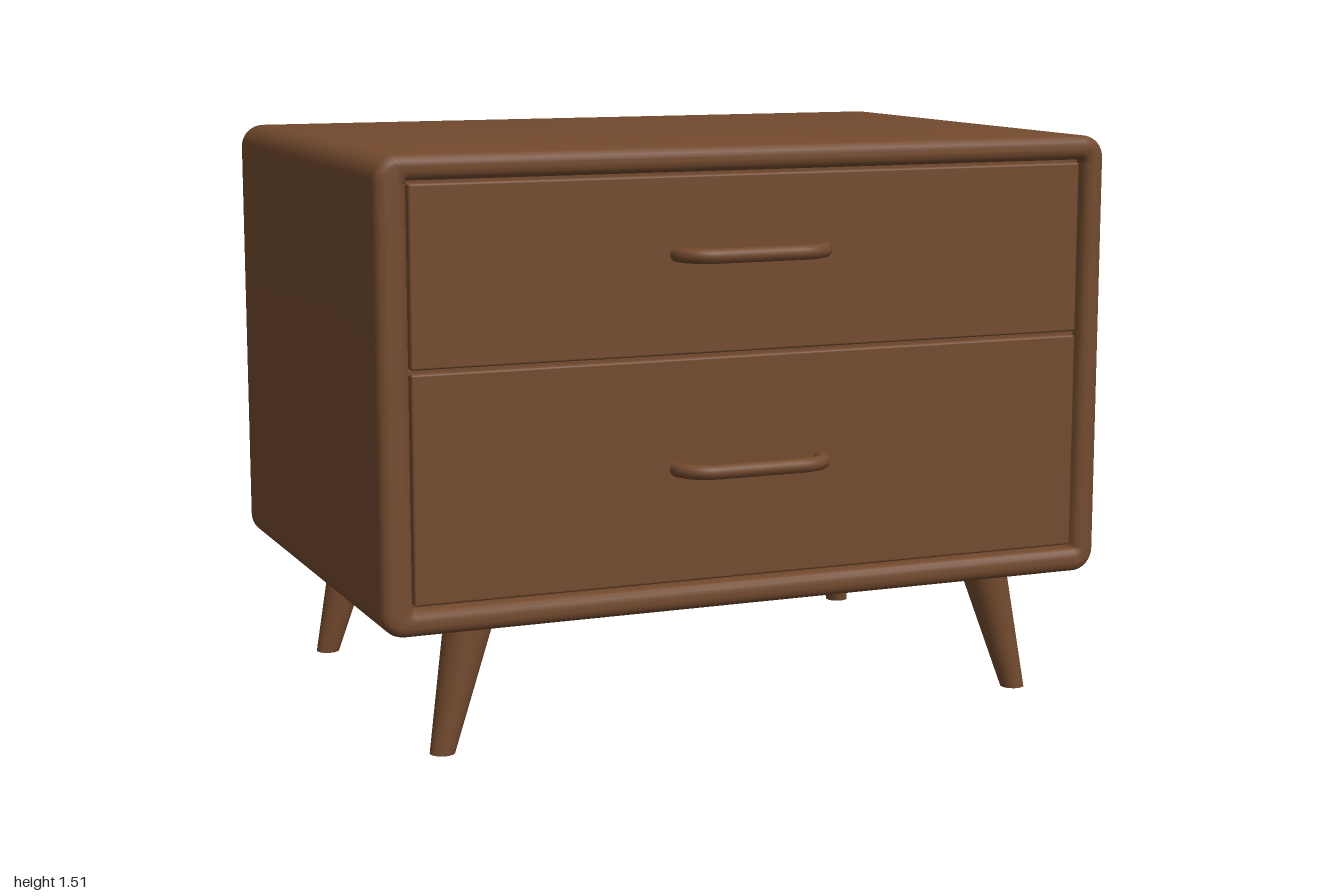
import * as THREE from 'three';
import { toCreasedNormals } from 'three/addons/utils/BufferGeometryUtils.js';
import { RoundedBoxGeometry } from 'three/addons/geometries/RoundedBoxGeometry.js';

const wood = new THREE.MeshStandardMaterial({ color: 0x734a2e });
wood.name = 'walnut brown';

const BACK = -0.715, FRONT = 0.635, BOTTOM = 0.335, TOP = 1.51, BEVEL = 0.025;
const OPEN = { x0: -0.92, x1: 0.94, y0: 0.4, y1: 1.447 };

function add(group, name, geometry) {
  const mesh = new THREE.Mesh(geometry, wood);
  mesh.name = name;
  group.add(mesh);
  return mesh;
}

function roundedRect(path, x0, y0, x1, y1, r) {
  path.moveTo(x0 + r, y0);
  path.lineTo(x1 - r, y0);
  path.absarc(x1 - r, y0 + r, r, -Math.PI / 2, 0);
  path.lineTo(x1, y1 - r);
  path.absarc(x1 - r, y1 - r, r, 0, Math.PI / 2);
  path.lineTo(x0 + r, y1);
  path.absarc(x0 + r, y1 - r, r, Math.PI / 2, Math.PI);
  path.lineTo(x0, y0 + r);
  path.absarc(x0 + r, y0 + r, r, Math.PI, Math.PI * 1.5);
  return path;
}

function boxBetween(group, name, x0, x1, y0, y1, z0, z1, radius = 0) {
  const size = [x1 - x0, y1 - y0, z1 - z0];
  const geometry = radius ? new RoundedBoxGeometry(...size, 3, radius) : new THREE.BoxGeometry(...size);
  add(group, name, geometry).position.set((x0 + x1) / 2, (y0 + y1) / 2, (z0 + z1) / 2);
}

// Round tapered leg, sheared so that both ends stay level
function legGeometry(top, foot) {
  const height = BOTTOM + 0.02;
  const geometry = new THREE.CylinderGeometry(0.066, 0.032, height, 20);
  geometry.translate(0, height / 2, 0);
  const p = geometry.attributes.position;
  for (let i = 0; i < p.count; i++) {
    const t = p.getY(i) / height;
    p.setX(i, p.getX(i) + foot[0] + (top[0] - foot[0]) * t);
    p.setZ(i, p.getZ(i) + foot[1] + (top[1] - foot[1]) * t);
  }
  return toCreasedNormals(geometry.toNonIndexed(), 0.7);
}

// Bow handle with rounded bends
function handleGeometry() {
  const v = (x, z) => new THREE.Vector3(x, 0, z);
  const path = new THREE.CurvePath();
  path.add(new THREE.LineCurve3(v(-0.222, 0.59), v(-0.219, 0.635)));
  path.add(new THREE.QuadraticBezierCurve3(v(-0.219, 0.635), v(-0.2, 0.688), v(-0.14, 0.691)));
  path.add(new THREE.LineCurve3(v(-0.14, 0.691), v(0.1, 0.691)));
  path.add(new THREE.QuadraticBezierCurve3(v(0.1, 0.691), v(0.158, 0.688), v(0.177, 0.635)));
  path.add(new THREE.LineCurve3(v(0.177, 0.635), v(0.18, 0.59)));
  return new THREE.TubeGeometry(path, 48, 0.019, 12);
}

export function createModel() {
  const model = new THREE.Group();
  model.name = 'bedsideCabinet';

  // Carcase: rounded surround with a soft rim, closed at the back
  const outline = roundedRect(new THREE.Shape(), -1, BOTTOM, 1, TOP, 0.06);
  outline.holes.push(roundedRect(new THREE.Path(), OPEN.x0, OPEN.y0, OPEN.x1, OPEN.y1, 0.008));
  const surround = new THREE.ExtrudeGeometry(outline, {
    depth: FRONT - BACK - 2 * BEVEL, curveSegments: 6,
    bevelSize: BEVEL, bevelThickness: BEVEL, bevelOffset: -BEVEL, bevelSegments: 4,
  });
  surround.translate(0, 0, BACK + BEVEL);
  add(model, 'surround', toCreasedNormals(surround, 0.7));
  boxBetween(model, 'backPanel', OPEN.x0 - BEVEL, OPEN.x1 + BEVEL, OPEN.y0 - BEVEL, OPEN.y1 + BEVEL, BACK, BACK + 0.05);
  boxBetween(model, 'innerPanel', OPEN.x0, OPEN.x1, OPEN.y0, OPEN.y1, 0.5, 0.59);

  // Drawers, each with its handle
  for (const [name, y0, y1, handleY] of [['lower', 0.408, 0.98, 0.7], ['upper', 0.99, 1.439, 1.243]]) {
    boxBetween(model, name + 'Drawer', OPEN.x0 + 0.008, OPEN.x1 - 0.008, y0, y1, 0.52, 0.615, 0.006);
    add(model, name + 'Handle', handleGeometry()).position.y = handleY;
  }

  // Splayed legs: [x, z] at the top and at the foot
  const legs = {
    frontLeftLeg: [[0.735, 0.48], [0.823, 0.512]],
    frontRightLeg: [[-0.725, 0.48], [-0.815, 0.512]],
    backLeftLeg: [[0.768, -0.53], [0.823, -0.575]],
    backRightLeg: [[-0.725, -0.562], [-0.815, -0.572]],
  };
  for (const [name, [top, foot]] of Object.entries(legs)) add(model, name, legGeometry(top, foot));

  return model;
}
